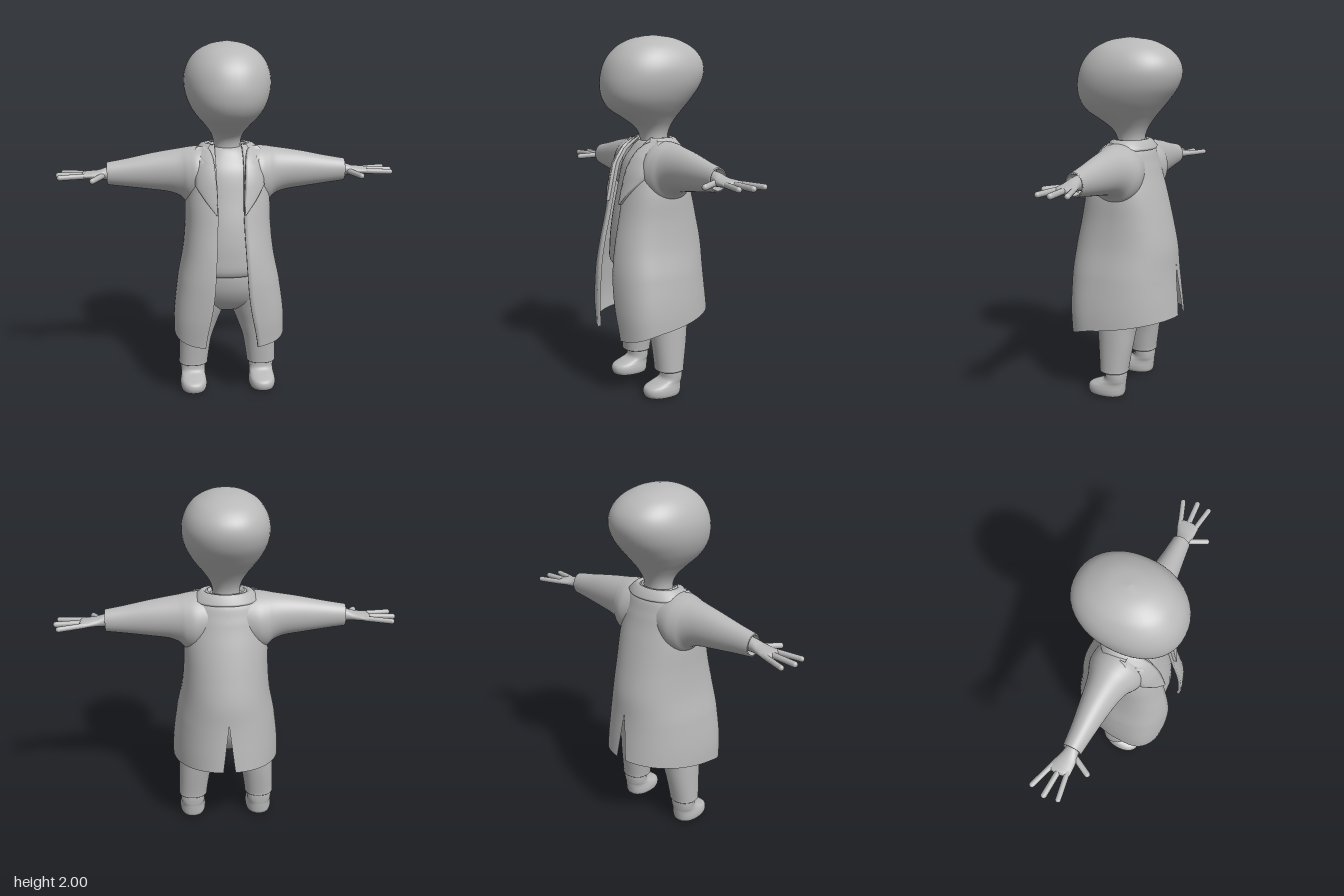
import * as THREE from 'three';

const grey = new THREE.MeshStandardMaterial({ color: 0xb8b8b8, side: THREE.DoubleSide });
grey.name = 'clayGrey';

// Surface through rows of points; closed rows wrap around
function grid(rows, closed = false, flip = false) {
  const n = rows[0].length, index = [];
  for (let i = 0; i < rows.length - 1; i++) {
    for (let j = 0; j < (closed ? n : n - 1); j++) {
      const k = (j + 1) % n;
      const a = i * n + j, b = i * n + k, c = (i + 1) * n + k, d = (i + 1) * n + j;
      index.push(...(flip ? [a, c, b, a, d, c] : [a, b, c, a, c, d]));
    }
  }
  const geo = new THREE.BufferGeometry();
  geo.setAttribute('position', new THREE.Float32BufferAttribute(rows.flat(2), 3));
  geo.setIndex(index);
  geo.computeVertexNormals();
  return geo;
}

const cubic = (a, b, c, d, t) =>
  b + 0.5 * t * (c - a + t * (2 * a - 5 * b + 4 * c - d + t * (3 * (b - c) + d - a)));

// Smooth loft; key = [position along axis, half width, front z, back z, centre]
function loft(keys, { axis = 'y', steps = 5, sides = 40, power = 2 } = {}) {
  const rows = [], last = keys.length - 1;
  const key = (i) => keys[Math.min(last, Math.max(0, i))];
  for (let q = 0; q <= last * steps; q++) {
    const i = Math.min(last - 1, Math.floor(q / steps)), t = q / steps - i;
    const [s, a, f, b, c] = [0, 1, 2, 3, 4].map((m) =>
      cubic(key(i - 1)[m] ?? 0, key(i)[m] ?? 0, key(i + 1)[m] ?? 0, key(i + 2)[m] ?? 0, t));
    const row = [];
    for (let j = 0; j < sides; j++) {
      const th = (j / sides) * Math.PI * 2, si = Math.sin(th), co = Math.cos(th);
      const w = c + Math.max(0, a) * Math.sign(si) * Math.abs(si) ** (2 / power);
      const z = (f + b) / 2 + Math.max(0, (f - b) / 2) * Math.sign(co) * Math.abs(co) ** (2 / power);
      row.push(axis === 'y' ? [w, s, z] : [s, w, z]);
    }
    rows.push(row);
  }
  return grid(rows, true, axis === 'x');
}

// Interpolated table lookup on the first column
function at(keys, y) {
  const last = keys.length - 1;
  let i = 0;
  while (i < last - 1 && y > keys[i + 1][0]) i++;
  const t = Math.min(1, Math.max(0, (y - keys[i][0]) / (keys[i + 1][0] - keys[i][0])));
  const k = (j) => keys[Math.min(last, Math.max(0, j))];
  return keys[0].map((_, m) => cubic(k(i - 1)[m], k(i)[m], k(i + 1)[m], k(i + 2)[m], t));
}

function mirrored(geo) {
  const g = geo.clone().scale(-1, 1, 1);
  const ix = g.index.array;
  for (let i = 0; i < ix.length; i += 3) [ix[i], ix[i + 1]] = [ix[i + 1], ix[i]];
  const n = geo.attributes.normal, m = g.attributes.normal;
  for (let i = 0; i < n.count; i++) m.setXYZ(i, -n.getX(i), n.getY(i), n.getZ(i));
  return g;
}

// Coat cross-sections: [y, half width, widest z, front z, back z]
const COAT = [
  [0.33, 0.312, 0.1, 0.3, -0.32], [0.5, 0.31, 0.09, 0.312, -0.303], [0.7, 0.285, 0.06, 0.312, -0.28],
  [0.85, 0.255, 0.04, 0.295, -0.268], [1.0, 0.24, 0.02, 0.265, -0.235], [1.15, 0.235, 0.01, 0.235, -0.195],
  [1.3, 0.215, 0, 0.2, -0.15], [1.38, 0.19, 0, 0.15, -0.125], [1.42, 0.15, 0, 0.105, -0.1],
  [1.445, 0.1, 0, 0.075, -0.08],
];
const OPENING = [[0.33, 0.145], [0.6, 0.1], [0.8, 0.083], [1.1, 0.07], [1.35, 0.075], [1.445, 0.075]];
const FRONT = 2.8, BACK = 2.1, TOP = 1.445;

function coatPoint(th, y) {
  const [, rx, zc, zf, zb] = at(COAT, y);
  const co = Math.cos(th), p = co > 0 ? FRONT : BACK;
  const x = rx * Math.max(0, Math.sin(th)) ** (2 / p);
  return [x, y, zc + (co > 0 ? zf - zc : zb - zc) * Math.abs(co) ** (2 / p)];
}
function coatFront(x, y) {
  const [, rx, zc, zf] = at(COAT, y);
  return zc + (zf - zc) * (1 - Math.min(0.94, x / rx) ** FRONT) ** (1 / FRONT);
}

// One half of the coat, with front edge, rising hem and back vent
function coatHalf() {
  const rows = [], R = 48, C = 36;
  for (let i = 0; i <= R; i++) {
    const v = i / R, yf = TOP + (0.335 - TOP) * v, yb = TOP + (0.46 - TOP) * v;
    const th0 = Math.asin(Math.min(1, at(OPENING, yf)[1] / at(COAT, yf)[1]) ** (FRONT / 2));
    const vent = Math.max(0, 0.74 - yb) * 0.12;
    const th1 = Math.PI - Math.asin((vent / at(COAT, yb)[1]) ** (BACK / 2));
    const row = [];
    for (let j = 0; j <= C; j++) {
      const th = th0 + (th1 - th0) * (j / C);
      const hem = 0.4 - 0.065 * Math.cos(th);
      row.push(coatPoint(th, TOP + (hem - TOP) * v));
    }
    const [x, y, z] = row[0];
    row.unshift([x, y, z - 0.02]);
    rows.push(row);
  }
  const geo = grid(rows, false, true);
  // Keep shading continuous across the centre back seam
  const p = geo.attributes.position, n = geo.attributes.normal, v = new THREE.Vector3();
  for (let i = 0; i < p.count; i++) {
    if (Math.abs(p.getX(i)) > 1e-4) continue;
    v.fromBufferAttribute(n, i).setX(0).normalize();
    n.setXYZ(i, v.x, v.y, v.z);
  }
  return geo;
}

// Notched lapel draped over the chest; row = [y, inner x, outer x]
function lapel() {
  const rows = [[1.09, 0.072, 0.08], [1.16, 0.072, 0.135], [1.235, 0.075, 0.188], [1.29, 0.08, 0.187],
    [1.34, 0.083, 0.184], [1.364, 0.086, 0.16], [1.39, 0.09, 0.195], [1.415, 0.1, 0.185], [1.435, 0.12, 0.165],
  ].map(([y, xi, xo]) => {
    const row = [];
    for (let j = 0; j <= 8; j++) {
      const x = xi + (xo - xi) * j / 8;
      row.push([x, y, coatFront(x, y) + 0.018]);
    }
    row.unshift([xi, y, row[0][2] - 0.03]);
    row.push([xo, y, row[9][2] - 0.03]);
    return row;
  });
  return grid(rows);
}

// Turned-down collar behind the neck
function collar() {
  return grid([[0.095, 1.4], [0.11, 1.435], [0.125, 1.447], [0.145, 1.443], [0.185, 1.405], [0.178, 1.392]].map(([r, y]) => {
    const row = [];
    for (let j = 0; j <= 40; j++) {
      const th = 0.75 + (Math.PI * 2 - 1.5) * j / 40;
      row.push([r * Math.sin(th), y, r * 0.74 * Math.cos(th)]);
    }
    return row;
  }), false, true);
}

// Rounded finger between two points
function finger(from, to, r) {
  const a = new THREE.Vector3(...from), b = new THREE.Vector3(...to), d = b.clone().sub(a);
  const geo = new THREE.CapsuleGeometry(r, d.length(), 6, 14);
  geo.applyQuaternion(new THREE.Quaternion().setFromUnitVectors(new THREE.Vector3(0, 1, 0), d.normalize()));
  return geo.translate(...a.add(b).multiplyScalar(0.5).toArray());
}

export function createModel() {
  const model = new THREE.Group();
  const add = (name, geo) => {
    const mesh = new THREE.Mesh(geo, grey);
    mesh.name = name;
    model.add(mesh);
  };
  const pair = (name, geo) => {
    add(name + 'Left', geo);
    add(name + 'Right', mirrored(geo));
  };

  // Egg-shaped head and neck
  add('head', loft([
    [1.38, 0.078, 0.078, -0.075], [1.45, 0.075, 0.08, -0.075], [1.5, 0.09, 0.11, -0.09], [1.55, 0.125, 0.18, -0.12],
    [1.6, 0.168, 0.258, -0.16], [1.66, 0.207, 0.298, -0.21], [1.73, 0.232, 0.31, -0.26], [1.8, 0.238, 0.301, -0.283],
    [1.86, 0.225, 0.279, -0.276], [1.91, 0.198, 0.242, -0.243], [1.95, 0.158, 0.193, -0.19],
    [1.985, 0.088, 0.112, -0.105], [2.0, 0, 0.01, 0.01],
  ], { sides: 48, power: 2.15 }));

  // Shirt and trousers
  add('shirt', loft([
    [0.745, 0.1, 0.1, -0.1], [0.73, 0.22, 0.235, -0.2], [0.85, 0.215, 0.25, -0.2], [1.0, 0.2, 0.235, -0.19],
    [1.15, 0.19, 0.203, -0.16], [1.3, 0.17, 0.168, -0.12], [1.38, 0.13, 0.12, -0.1], [1.42, 0.095, 0.088, -0.085],
    [1.43, 0.06, 0.06, -0.06],
  ], { power: 2.3 }));
  add('trouserHips', loft([
    [0.465, 0, 0.01, 0.01], [0.475, 0.06, 0.05, -0.05], [0.5, 0.15, 0.105, -0.095], [0.55, 0.225, 0.16, -0.14],
    [0.63, 0.25, 0.205, -0.18], [0.72, 0.235, 0.222, -0.19], [0.78, 0.21, 0.21, -0.18],
  ]));
  pair('trouserLeg', loft([
    [0.2, 0.06, 0.06, -0.04, 0.2], [0.15, 0.07, 0.075, -0.055, 0.2], [0.15, 0.083, 0.092, -0.067, 0.2],
    [0.17, 0.084, 0.094, -0.068, 0.199], [0.3, 0.093, 0.106, -0.088, 0.187], [0.4, 0.109, 0.118, -0.102, 0.169],
    [0.5, 0.125, 0.142, -0.125, 0.147], [0.6, 0.125, 0.17, -0.15, 0.13],
  ], { power: 2.2 }));
  pair('shoe', loft([
    [0, 0, 0.05, 0.05, 0.202], [0.002, 0.06, 0.145, -0.03, 0.202], [0.015, 0.074, 0.165, -0.046, 0.202],
    [0.04, 0.077, 0.17, -0.05, 0.202], [0.062, 0.074, 0.158, -0.052, 0.202], [0.08, 0.07, 0.115, -0.053, 0.202],
    [0.1, 0.07, 0.068, -0.055, 0.202], [0.14, 0.072, 0.058, -0.056, 0.202], [0.22, 0.07, 0.055, -0.05, 0.2],
  ], { power: 2.3 }));

  // Long open coat with sleeves
  pair('coatBody', coatHalf());
  pair('lapel', lapel());
  add('collar', collar());
  pair('sleeve', loft([
    [0.1, 0.15, 0.15, -0.13, 1.28], [0.17, 0.163, 0.165, -0.14, 1.268], [0.22, 0.158, 0.148, -0.128, 1.268],
    [0.26, 0.135, 0.124, -0.11, 1.284], [0.32, 0.118, 0.105, -0.094, 1.292], [0.42, 0.102, 0.086, -0.078, 1.291],
    [0.55, 0.08, 0.068, -0.06, 1.286], [0.655, 0.064, 0.056, -0.05, 1.283], [0.66, 0.062, 0.054, -0.048, 1.283],
    [0.66, 0.053, 0.047, -0.041, 1.283], [0.6, 0.05, 0.045, -0.04, 1.283],
  ], { axis: 'x' }));

  // Hands
  pair('palm', loft([
    [0.58, 0.042, 0.046, -0.035, 1.285], [0.66, 0.036, 0.042, -0.033, 1.284], [0.71, 0.026, 0.052, -0.045, 1.278],
    [0.76, 0.021, 0.054, -0.064, 1.276], [0.795, 0.017, 0.048, -0.066, 1.274], [0.81, 0, -0.01, -0.01, 1.274],
  ], { axis: 'x', sides: 28 }));
  pair('backFinger', finger([0.77, 1.275, -0.05], [0.91, 1.273, -0.097], 0.015));
  pair('middleFinger', finger([0.77, 1.275, -0.008], [0.932, 1.272, -0.018], 0.016));
  pair('frontFinger', finger([0.77, 1.275, 0.034], [0.92, 1.272, 0.057], 0.015));
  pair('thumb', finger([0.69, 1.275, 0.035], [0.74, 1.265, 0.128], 0.016));

  return model;
}
